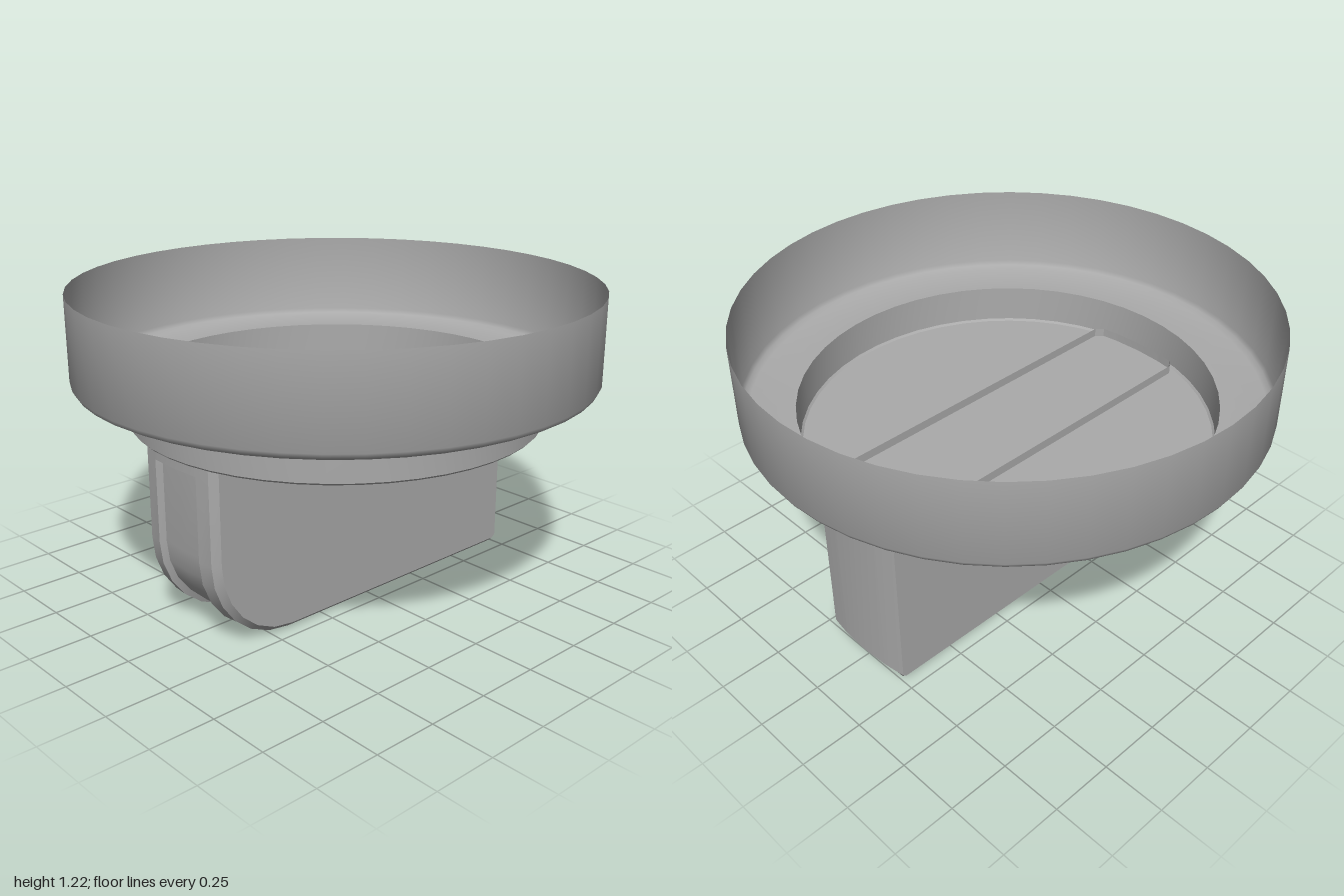
import * as THREE from 'three';
import { toCreasedNormals } from 'three/addons/utils/BufferGeometryUtils.js';

export function createModel() {
  const group = new THREE.Group();
  const grey = new THREE.MeshStandardMaterial({ color: 0xaaaaaa, side: THREE.DoubleSide });
  grey.name = 'plain grey';

  const add = (name, geometry, parent = group) => {
    const mesh = new THREE.Mesh(geometry, grey);
    mesh.name = name;
    parent.add(mesh);
    return mesh;
  };

  // Thin open cup: stepped floor, flange, rounded lower rim and tall wall
  const cupProfile = [
    [0, 0.71], [0.785, 0.71], [0.793, 0.718], [0.795, 0.866],
    [0.97, 0.866], [0.99, 0.877], [1, 0.895], [1, 1.22],
  ].map(([r, y]) => new THREE.Vector2(r, y));
  add('cup', toCreasedNormals(new THREE.LatheGeometry(cupProfile, 48), 0.62));

  // Grip outline from front top, round the nose, along the bottom, up the back:
  // z, y, outward normal (z, y), groove on or off
  const rows = [[0.77, 0.745, 1, 0, 0], [0.77, 0.67, 1, 0, 0], [0.77, 0.67, 1, 0, 1]];
  for (let i = 0; i <= 6; i++) {
    const a = (i / 6) * Math.PI / 2;
    const c = Math.cos(a), s = Math.sin(a);
    rows.push([0.41 + 0.36 * c, 0.35 - 0.35 * s, c, -s, 1]);
  }
  rows.push(
    [-0.64, 0, 0, -1, 1], [-0.64, 0, 0, -1, 0], [-0.735, 0, 0, -1, 0],
    [-0.77, 0.035, -1, 0, 0], [-0.77, 0.745, -1, 0, 0],
  );

  // Cross-section: bevelled edges, two rims and the sunken channel between them
  const xs = [-0.205, -0.18, -0.12, -0.11, 0, 0.11, 0.12, 0.18, 0.205];
  const half = 0.205, last = xs.length - 1;
  const surfacePoint = ([z, y, nz, ny, groove], j) => {
    const x = xs[j];
    let inset = 0.02 * nz * nz * (x / half) ** 2;
    if ((j === 0 || j === last) && nz > -0.5) inset += 0.022;
    if (groove && Math.abs(x) < 0.115) inset += 0.025;
    return [x, y - ny * inset, z - nz * inset];
  };

  const positions = [];
  const index = [];
  rows.forEach((row, i) => xs.forEach((_, j) => {
    positions.push(...surfacePoint(row, j));
    if (i && j) {
      const d = i * xs.length + j, c = d - 1, b = d - xs.length, a = b - 1;
      index.push(a, c, b, b, c, d);
    }
  }));
  const band = new THREE.BufferGeometry();
  band.setAttribute('position', new THREE.Float32BufferAttribute(positions, 3));
  band.setIndex(index);

  const grip = new THREE.Group();
  grip.name = 'grip';
  group.add(grip);
  add('gripEdge', toCreasedNormals(band, 0.5), grip);

  // Flat cheeks closing the two sides of the grip
  const outline = [];
  for (const row of rows) {
    const [, y, z] = surfacePoint(row, last);
    const p = new THREE.Vector2(z, y);
    if (!outline.length || outline[outline.length - 1].distanceTo(p) > 1e-4) outline.push(p);
  }
  for (const [name, side] of [['leftCheek', 1], ['rightCheek', -1]]) {
    const cheek = new THREE.ShapeGeometry(new THREE.Shape(outline));
    cheek.rotateY(-Math.PI / 2);
    if (side > 0) {
      // Turn the left cheek to face outward
      const idx = cheek.index.array;
      for (let i = 0; i < idx.length; i += 3) [idx[i], idx[i + 1]] = [idx[i + 1], idx[i]];
      cheek.computeVertexNormals();
    }
    cheek.translate(side * half, 0, 0);
    add(name, cheek, grip);
  }

  return group;
}
